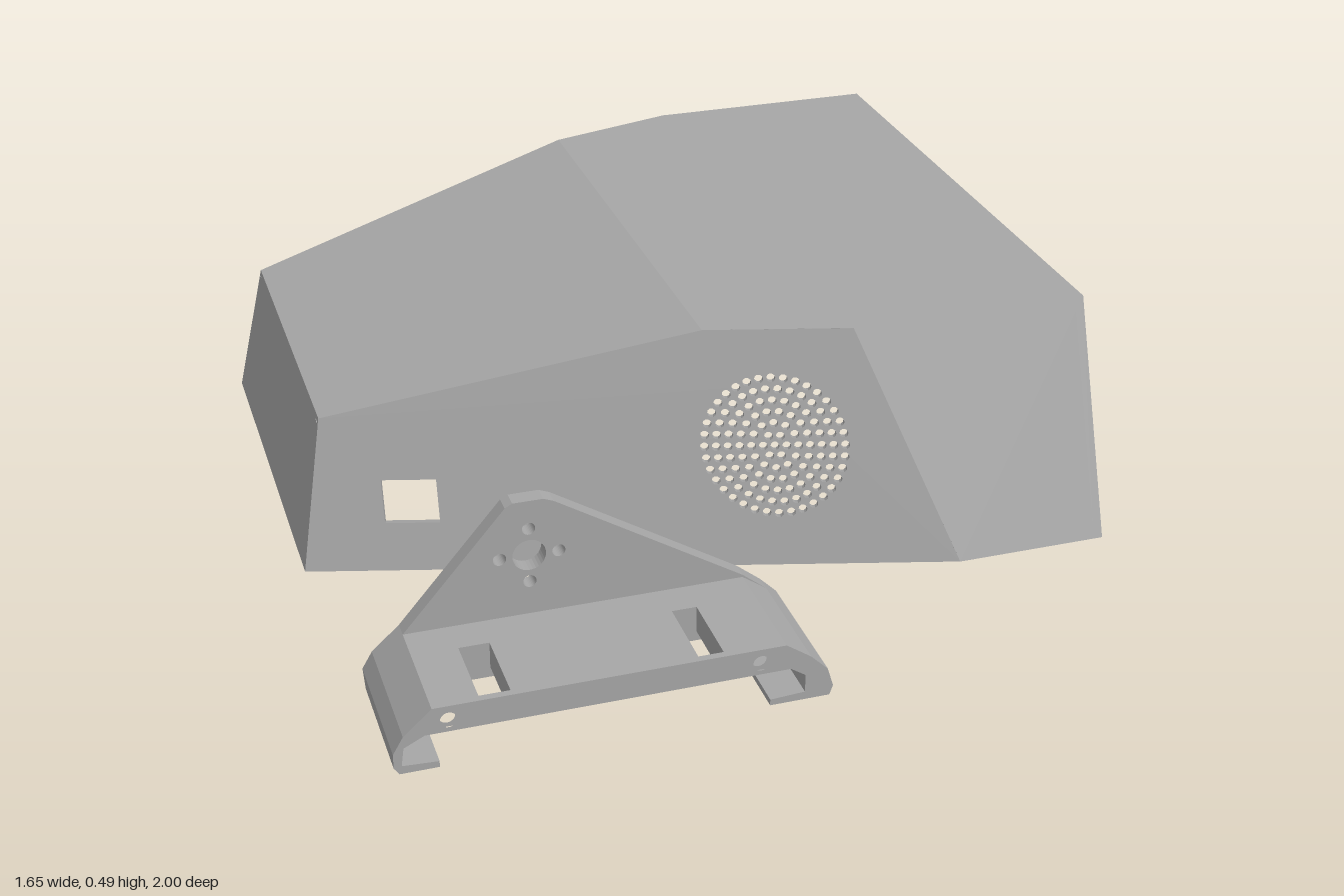
import * as THREE from 'three';

const V = (x, y, z) => new THREE.Vector3(x, y, z);
const MID = -0.185;                       // z of the housing's mirror plane
const WALL = 0.02;
const mirrorPoint = p => V(p.x, p.y, 2 * MID - p.z);
const mirrorLoop = loop => loop.map(mirrorPoint).reverse();

// Sloping side planes of the housing: tapered part and straight part
const zTaper = (x, y) => 0.26 + 0.28 * (x + 0.83) - 0.255 * y;
const zStraight = y => 0.63 - 0.367 * y;
const onTaper = (x, y) => V(x, y, zTaper(x, y));

function ringPoints(a, b, r, n, toPoint) {
  return Array.from({ length: n }, (_, i) => {
    const t = (i / n) * Math.PI * 2;
    return toPoint(a + r * Math.cos(t), b + r * Math.sin(t));
  });
}

// Flat wall from a counter-clockwise outer loop, thickened inwards, cut level at the floor
function panel(loop, holes = []) {
  const u = loop[1].clone().sub(loop[0]).normalize();
  const n = u.clone().cross(loop[loop.length - 1].clone().sub(loop[0])).normalize();
  const v = n.clone().cross(u);
  const flat = pts => pts.map(p => {
    const d = p.clone().sub(loop[0]);
    return new THREE.Vector2(d.dot(u), d.dot(v));
  });
  const shape = new THREE.Shape(flat(loop));
  shape.holes = holes.map(h => new THREE.Path(flat(h)));
  const g = new THREE.ExtrudeGeometry(shape, { depth: WALL, bevelEnabled: false });
  g.translate(0, 0, -WALL);
  g.applyMatrix4(new THREE.Matrix4().makeBasis(u, v, n).setPosition(loop[0]));
  const pos = g.attributes.position;
  for (let i = 0; i < pos.count; i++) pos.setY(i, Math.max(0, pos.getY(i)));
  return g;
}

function outline(points, circles = []) {
  const s = new THREE.Shape(points.map(p => new THREE.Vector2(...p)));
  s.holes = circles.map(([x, y, r]) => new THREE.Path().absarc(x, y, r, 0, Math.PI * 2, true));
  return s;
}

function slabZ(shape, z0, z1) {
  return new THREE.ExtrudeGeometry(shape, { depth: z1 - z0, bevelEnabled: false, curveSegments: 16 })
    .translate(0, 0, z0);
}

export function createModel() {
  const model = new THREE.Group();
  const grey = new THREE.MeshStandardMaterial({ color: 0xa6a6a6 });
  grey.name = 'plain grey';
  const housing = new THREE.Group();
  housing.name = 'housing';
  const bracket = new THREE.Group();
  bracket.name = 'bracket';
  model.add(housing, bracket);
  const add = (parent, name, geometry) => {
    const m = new THREE.Mesh(geometry, grey);
    m.name = name;
    parent.add(m);
    return m;
  };

  // Tapered side walls: cable window on both, speaker grille on the front one
  const taper = [[-0.83, 0], [0.49, 0], [0.3, 0.49], [0, 0.49], [-0.77, 0.32]].map(p => onTaper(...p));
  const windowHole = [[-0.66, 0.1], [-0.55, 0.1], [-0.55, 0.19], [-0.66, 0.19]].map(p => onTaper(...p));
  const grille = [];
  for (let k = 0; k <= 6; k++) {
    const count = Math.max(1, 6 * k);
    for (let i = 0; i < count; i++) {
      const t = (i / count) * Math.PI * 2;
      grille.push(ringPoints(0.13 + 0.0235 * k * Math.cos(t), 0.25 + 0.0235 * k * Math.sin(t), 0.009, 10, onTaper));
    }
  }
  add(housing, 'frontTaperedWall', panel(taper, [windowHole, ...grille]));
  add(housing, 'backTaperedWall', panel(mirrorLoop(taper), [mirrorLoop(windowHole)]));

  // Straight side walls
  const straight = [V(0.49, 0, 0.63), V(0.82, 0, 0.63), V(0.82, 0.49, 0.45), V(0.3, 0.49, 0.45)];
  add(housing, 'frontStraightWall', panel(straight));
  add(housing, 'backStraightWall', panel(mirrorLoop(straight)));

  // End wall with two fan openings, their screw holes and a cable hole
  const onEnd = (z, y) => V(0.82, y, z);
  const endHoles = [ringPoints(-0.18, 0.36, 0.044, 24, onEnd)];
  for (const z of [0.15, -0.515]) {
    endHoles.push(ringPoints(z, 0.25, 0.105, 40, onEnd));
    for (const a of [-1, 1]) for (const b of [-1, 1])
      endHoles.push(ringPoints(z + a * 0.103, 0.247 + b * 0.103, 0.012, 12, onEnd));
  }
  add(housing, 'fanWall', panel(
    [V(0.82, 0, 0.63), V(0.82, 0, -1), V(0.82, 0.49, -0.82), V(0.82, 0.49, 0.45)], endHoles));

  // Narrow end wall and the two roof planes
  const low = onTaper(-0.77, 0.32), ridge = onTaper(0, 0.49);
  const foot = V(-0.83, 0, 0.26);
  add(housing, 'narrowWall', panel([mirrorPoint(foot), foot, low, mirrorPoint(low)]));
  add(housing, 'slopingRoof', panel([low, ridge, mirrorPoint(ridge), mirrorPoint(low)]));
  const roofEdge = [ridge, V(0.3, 0.49, 0.45), V(0.82, 0.49, 0.45)];
  add(housing, 'flatRoof', panel([...roofEdge, ...mirrorLoop(roofEdge)]));

  // Screw posts, tops trimmed to the leaning walls and roof
  for (const [x, z] of [[0.5, 0.54], [-0.13, 0.345], [-0.74, 0.185]]) {
    const g = new THREE.CylinderGeometry(0.034, 0.034, 1, 20).translate(x, 0.5, z);
    const p = g.attributes.position;
    for (let i = 0; i < p.count; i++) {
      const px = p.getX(i), pz = p.getZ(i);
      if (p.getY(i) < 0.5) { p.setY(i, 0.005); continue; }
      const wallY = Math.min((zTaper(px, 0) - pz) / 0.255, (0.63 - pz) / 0.367) - 0.01;
      const roofY = Math.min(0.49, 0.49 + 0.221 * px) - 0.01;
      p.setY(i, Math.max(0.02, Math.min(wallY, roofY)));
    }
    g.computeVertexNormals();
    add(housing, 'screwPost', g);
    const back = g.clone().translate(0, 0, -MID).rotateY(Math.PI);
    // half turn plus x flip gives the mirrored post
    const q = back.attributes.position;
    for (let i = 0; i < q.count; i++) q.setX(i, -q.getX(i));
    const idx = back.index.array;
    for (let i = 0; i < idx.length; i += 3) [idx[i], idx[i + 1]] = [idx[i + 1], idx[i]];
    back.translate(0, 0, MID);
    back.computeVertexNormals();
    add(housing, 'screwPost', back);
  }

  // Rails beside the cable window, inside the front wall
  for (const x of [-0.49, -0.7]) {
    const rail = add(housing, 'windowRail', new THREE.BoxGeometry(0.035, 0.2, 0.03));
    rail.position.set(x, 0.145, zTaper(x, 0.145) - 0.034);
    rail.rotation.set(-0.25, -0.27, 0, 'YXZ');
  }

  // Hanging pivot plate with a bearing ring
  const R = 0.16, cy = 0.165;
  const arch = new THREE.Shape();
  arch.moveTo(-0.19, 0.395);
  arch.lineTo(-R, cy);
  arch.absarc(0, cy, R, Math.PI, Math.PI * 2, false);
  arch.lineTo(0.19, 0.395);
  arch.holes.push(new THREE.Path().absarc(0, cy, 0.11, 0, Math.PI * 2, true));
  const ring = new THREE.Shape().absarc(0, cy, 0.135, 0, Math.PI * 2, false);
  ring.holes.push(new THREE.Path().absarc(0, cy, 0.11, 0, Math.PI * 2, true));
  const place = (s, d, x) => new THREE.ExtrudeGeometry(s, { depth: d, bevelEnabled: false, curveSegments: 24 })
    .rotateY(Math.PI / 2).translate(x, 0, MID);
  add(housing, 'pivotPlate', place(arch, 0.035, -0.38));
  add(housing, 'bearingRing', place(ring, 0.05, -0.345));

  // Small hollow boss under the roof
  const boss = [[0.018, 0.475], [0.018, 0.43], [0.04, 0.43], [0.04, 0.475]].map(p => new THREE.Vector2(...p));
  add(housing, 'roofBoss', new THREE.LatheGeometry(boss.reverse(), 24).translate(0.09, 0, 0.12)).material = grey;

  // Bracket: upright triangular plate
  const bolts = [[-0.47, 0.265, 0.033]];
  for (const s of [-1, 1]) bolts.push([-0.47 + s * 0.058, 0.265, 0.013], [-0.47, 0.265 + s * 0.058, 0.013]);
  const plate = [[-0.78, 0.005], [0.05, 0.005], [0.057, 0.025], [0.045, 0.065], [0.01, 0.1], [-0.04, 0.14],
    [-0.42, 0.375], [-0.44, 0.383], [-0.5, 0.383], [-0.515, 0.375], [-0.72, 0.135], [-0.775, 0.085], [-0.795, 0.05], [-0.795, 0.02]];
  const plateGeo = slabZ(outline(plate, bolts), 0.715, 0.75);
  const pp = plateGeo.attributes.position;
  for (let i = 0; i < pp.count; i++)      // chamfer the lower outside edge
    if (pp.getZ(i) < 0.72 && pp.getY(i) < 0.03) pp.setZ(i, 0.74);
  plateGeo.computeVertexNormals();
  add(bracket, 'uprightPlate', plateGeo);

  // Bracket: hooked shelf with two strap slots
  const leftHook = [[-0.735, 0.08], [-0.775, 0.06], [-0.78, 0.022], [-0.71, 0.018], [-0.71, 0.005], [-0.785, 0.005],
    [-0.795, 0.02], [-0.795, 0.05], [-0.775, 0.085], [-0.72, 0.135]];
  const rightHook = [[-0.04, 0.135], [0.01, 0.1], [0.045, 0.065], [0.057, 0.025], [0.05, 0.005],
    [-0.07, 0.005], [-0.07, 0.018], [0, 0.022], [0, 0.06], [-0.03, 0.08]];
  const holeL = [-0.69, 0.105, 0.016], holeR = [-0.09, 0.105, 0.016];
  const full = outline([...leftHook, ...rightHook], [holeL, holeR]);
  add(bracket, 'shelfRear', slabZ(full, 0.75, 0.825));
  add(bracket, 'shelfLip', slabZ(full, 0.985, 1));
  add(bracket, 'shelfEnd', slabZ(outline([...leftHook, [-0.63, 0.135], [-0.63, 0.08]], [holeL]), 0.825, 0.985));
  add(bracket, 'shelfEnd', slabZ(outline([[-0.16, 0.08], [-0.16, 0.135], ...rightHook], [holeR]), 0.825, 0.985));
  add(bracket, 'shelfMiddle',
    slabZ(outline([[-0.57, 0.08], [-0.21, 0.08], [-0.21, 0.135], [-0.57, 0.135]]), 0.825, 0.985));
  return model;
}
